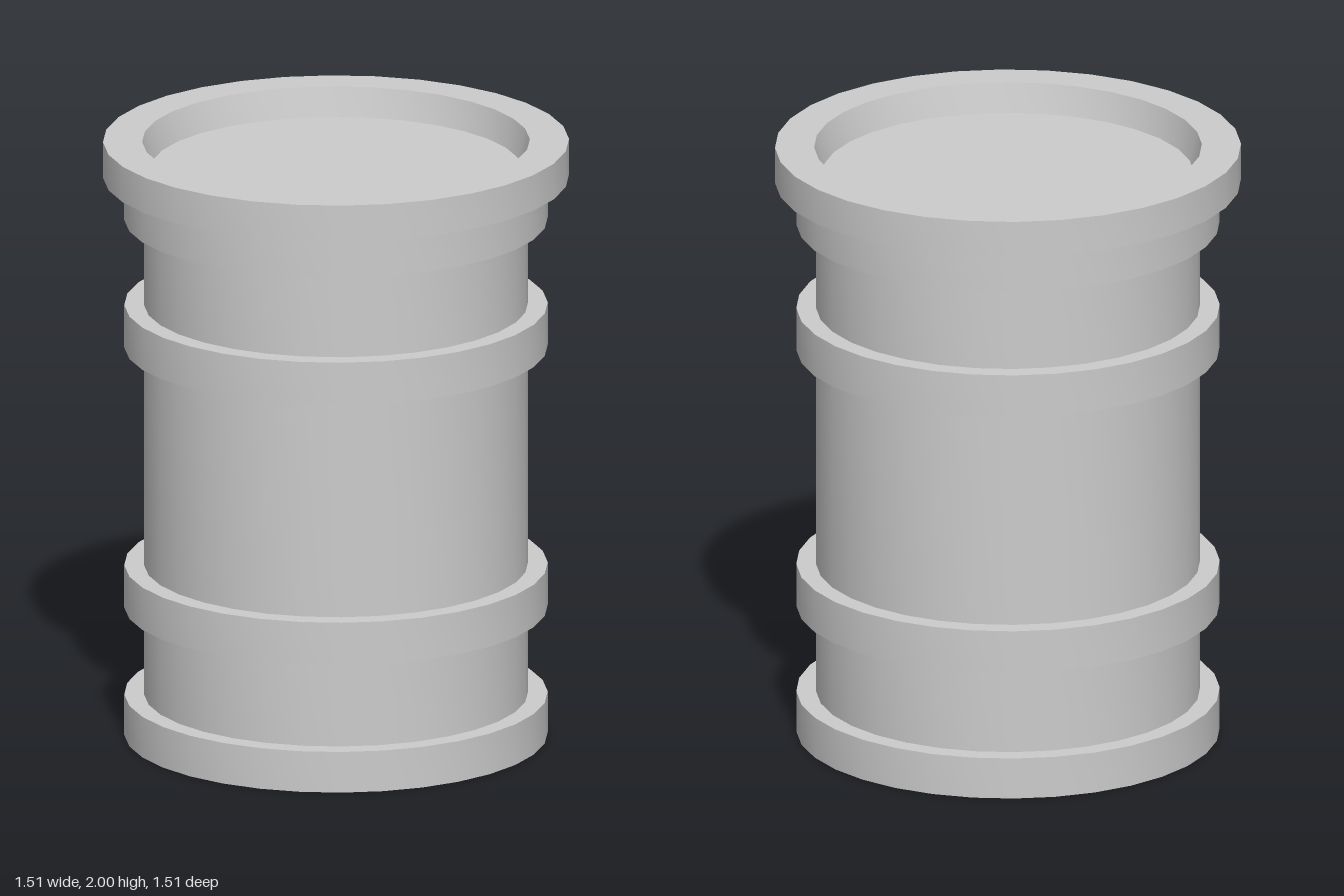
import * as THREE from 'three';
import { toCreasedNormals } from 'three/addons/utils/BufferGeometryUtils.js';

const SIDES = 32;
const WALL = 0.622, HOOP = 0.686, RIM = 0.755;

export function createModel() {
  const group = new THREE.Group();
  const material = new THREE.MeshStandardMaterial({ color: 0xcccccc, side: THREE.DoubleSide });

  // Revolves a [radius, height] profile into a thin shell with sharp corners
  function addShell(name, profile) {
    const points = profile.map(([r, y]) => new THREE.Vector2(r, y));
    const geometry = toCreasedNormals(new THREE.LatheGeometry(points, SIDES), 0.6);
    const mesh = new THREE.Mesh(geometry, material);
    mesh.name = name;
    group.add(mesh);
  }

  // Bottom hoop, open underneath
  addShell('bottomHoop', [[HOOP, 0], [HOOP, 0.137], [WALL, 0.137]]);

  // Straight wall sections between the hoops
  [['lowerWall', 0.137, 0.43], ['middleWall', 0.573, 1.307], ['upperWall', 1.45, 1.737]]
    .forEach(([name, y0, y1]) => addShell(name, [[WALL, y0], [WALL, y1]]));

  // Hollow raised hoops around the barrel
  [['lowerHoop', 0.43, 0.573], ['upperHoop', 1.307, 1.45]]
    .forEach(([name, y0, y1]) => addShell(name, [[WALL, y0], [HOOP, y0], [HOOP, y1], [WALL, y1]]));

  // Collar below the rim
  addShell('collar', [[WALL, 1.737], [HOOP, 1.737], [HOOP, 1.88]]);

  // Wide rim with a slightly tapered recess inside
  addShell('rim', [[HOOP, 1.88], [RIM, 1.88], [RIM, 2], [0.628, 2], [0.603, 1.904]]);

  // Sunken lid
  const lid = new THREE.Mesh(new THREE.CircleGeometry(0.603, SIDES).rotateX(-Math.PI / 2), material);
  lid.name = 'lid';
  lid.position.y = 1.904;
  group.add(lid);

  return group;
}
